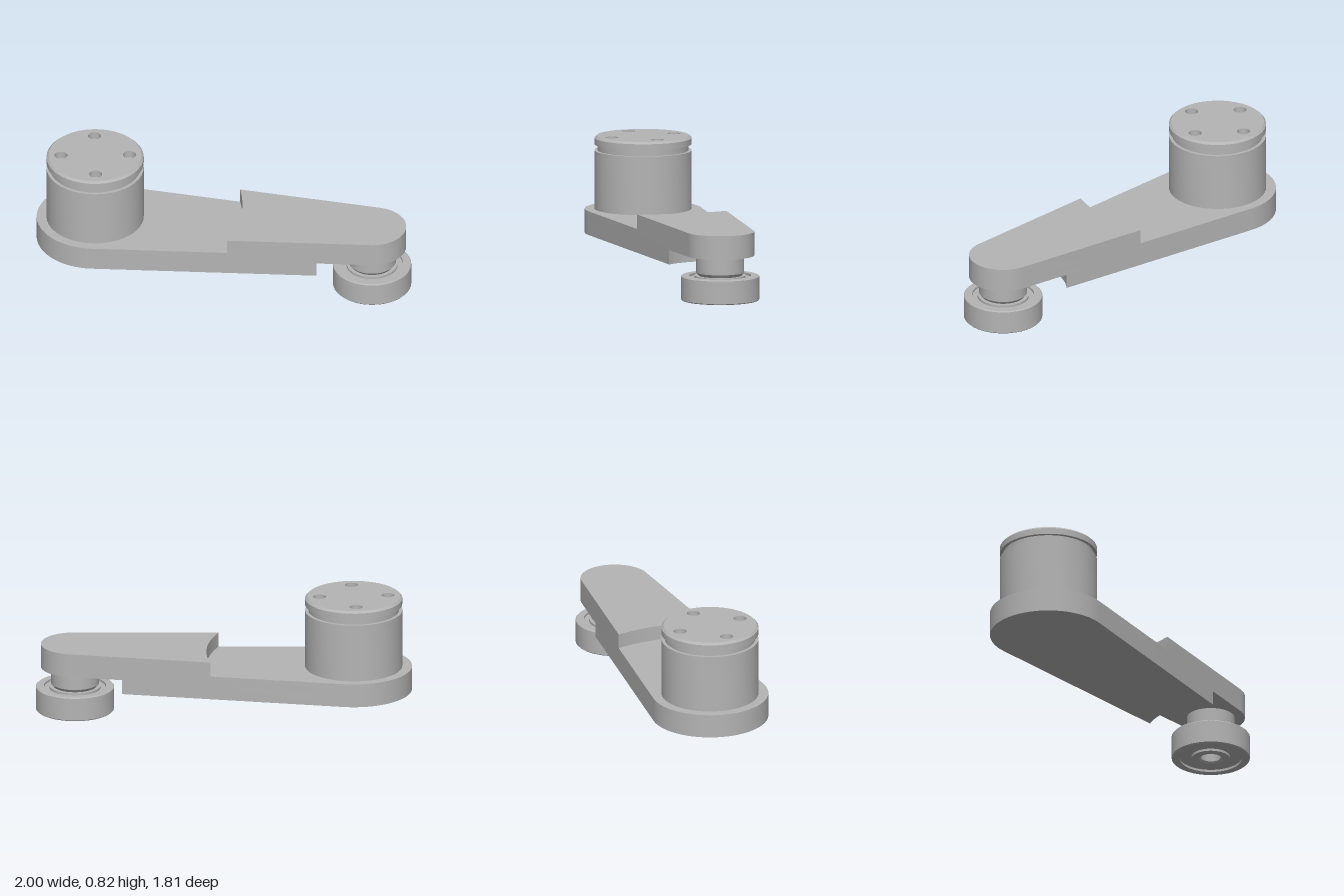
import * as THREE from 'three';
import { toCreasedNormals } from 'three/addons/utils/BufferGeometryUtils.js';

const metal = new THREE.MeshStandardMaterial({ color: 0xb4b4b4 });
metal.name = 'grey metal';

// Arm plan: two circles joined by tangent lines, axis along local +x
const R = 0.377, r = 0.22, L = 1.805;
const alpha = Math.acos((R - r) / L);

function addMesh(parent, name, geometry, crease = 0.5) {
  const mesh = new THREE.Mesh(toCreasedNormals(geometry, crease), metal);
  mesh.name = name;
  parent.add(mesh);
  return mesh;
}

// Plan shape raised between two heights
function slab(shape, y0, y1, segments = 24) {
  const g = new THREE.ExtrudeGeometry(shape, { depth: y1 - y0, bevelEnabled: false, curveSegments: segments });
  return g.rotateX(-Math.PI / 2).translate(0, y0, 0);
}

function lathe(points, segments = 40) {
  return new THREE.LatheGeometry(points.map(([x, y]) => new THREE.Vector2(x, y)), segments);
}

export function createModel() {
  const model = new THREE.Group();
  model.name = 'crankArm';

  const body = new THREE.Group();
  body.name = 'armAssembly';
  body.position.set(-0.622, 0, 0.526);
  body.rotation.y = Math.atan2(1.178, 1.367);
  model.add(body);

  // Lower layer, cut away by an arc around the roller
  const cutR = 0.41, gamma = alpha + Math.acos(r / cutR);
  const lower = new THREE.Shape();
  lower.absarc(0, 0, R, alpha, 2 * Math.PI - alpha, false);
  lower.absarc(L, 0, cutR, 2 * Math.PI - gamma, gamma, true);
  addMesh(body, 'armUnderside', slab(lower, 0.195, 0.29));

  // Full-length middle layer
  const middle = new THREE.Shape();
  middle.absarc(0, 0, R, alpha, 2 * Math.PI - alpha, false);
  middle.absarc(L, 0, r, -alpha, alpha, false);
  addMesh(body, 'armPlate', slab(middle, 0.29, 0.35));

  // Raised outer half, stepped along an arc around the hub
  const stepR = 0.95, beta = alpha - Math.acos(R / stepR);
  const raised = new THREE.Shape();
  raised.absarc(0, 0, stepR, beta, -beta, true);
  raised.absarc(L, 0, r, -alpha, alpha, false);
  addMesh(body, 'armRaisedEnd', slab(raised, 0.35, 0.445));

  // Hub with a ring groove and a socket for the drilled lid
  addMesh(body, 'hub', lathe([
    [0, 0.35], [0.314, 0.35], [0.314, 0.73], [0.293, 0.73], [0.293, 0.77],
    [0.314, 0.77], [0.314, 0.811], [0.3, 0.825], [0.3, 0.775], [0, 0.775],
  ]));

  // Lid with four blind holes
  const lid = new THREE.Shape();
  lid.absarc(0, 0, 0.3, 0, 2 * Math.PI, false);
  for (let i = 0; i < 4; i++) {
    const a = 0.16 + i * Math.PI / 2;
    const hole = new THREE.Path();
    hole.absarc(0.221 * Math.cos(a), 0.221 * Math.sin(a), 0.042, 0, 2 * Math.PI, true);
    lid.holes.push(hole);
  }
  addMesh(body, 'hubLid', slab(lid, 0.776, 0.825, 20));

  // Roller pin with a chamfered lower end
  addMesh(body, 'rollerPin', lathe([
    [0, 0.1], [0.065, 0.1], [0.065, 0.16], [0.14, 0.16], [0.155, 0.18], [0.155, 0.29], [0, 0.29],
  ])).position.x = L;

  // Roller bearing: outer race, recessed shield, inner race and bore
  addMesh(body, 'rollerBearing', lathe([
    [0.065, 0.012], [0.075, 0], [0.125, 0], [0.125, 0.015], [0.2, 0.015], [0.2, 0],
    [0.247, 0], [0.253, 0.006], [0.253, 0.154], [0.247, 0.16], [0.2, 0.16], [0.2, 0.145],
    [0.165, 0.145], [0.165, 0.16], [0.065, 0.16], [0.065, 0.012],
  ])).position.x = L;

  return model;
}
